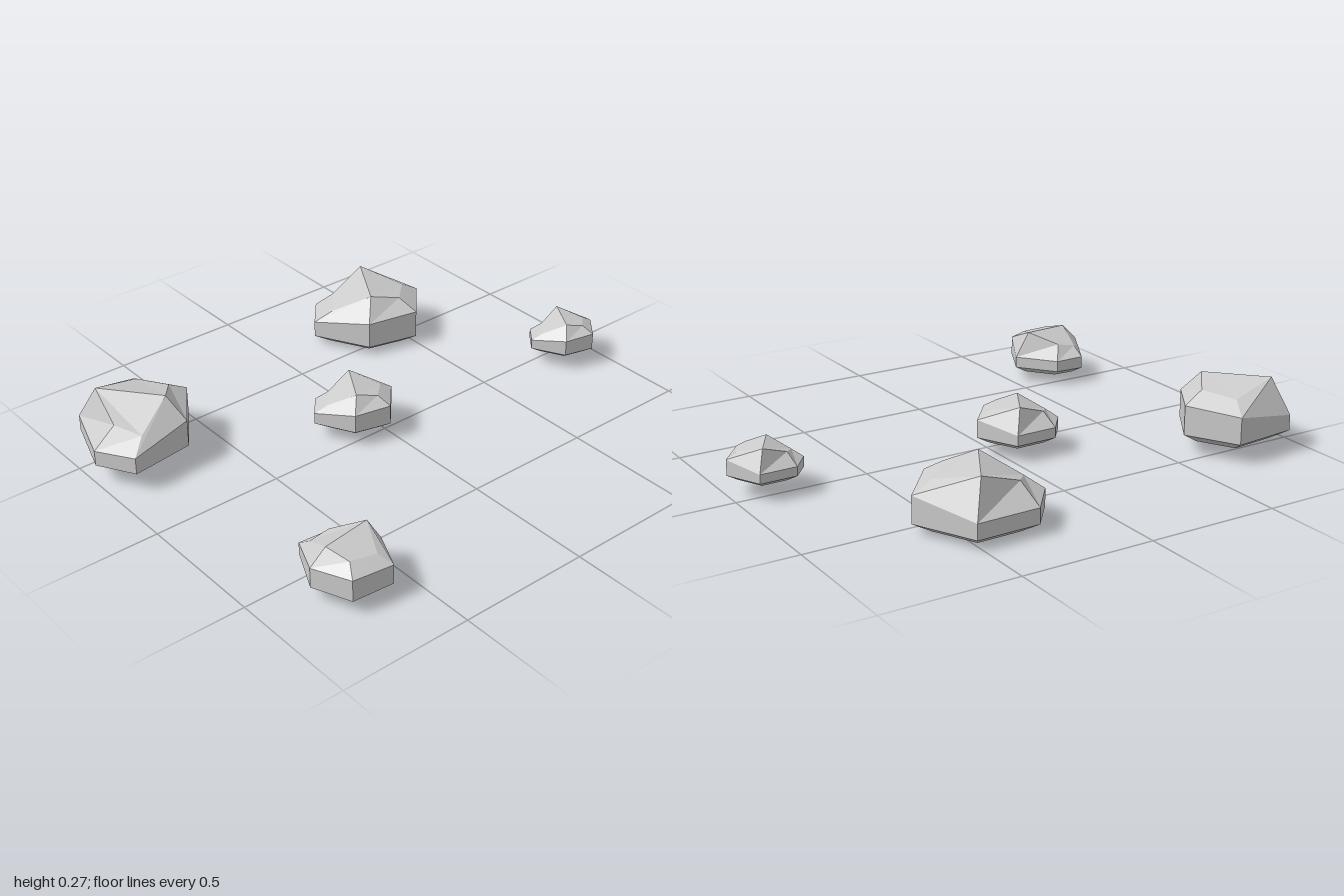
import * as THREE from 'three';

// Six-sided rock: outline [x, z], shoulder heights, and crown points [x, y, z]
const outline = [[-0.22, -0.07], [-0.12, -0.19], [0.12, -0.195], [0.23, 0.03], [0.09, 0.19], [-0.11, 0.14]];
const shoulder = [0.10, 0.095, 0.095, 0.137, 0.147, 0.14];
const crown = [
  [-0.16, 0.147, -0.03], [-0.095, 0.168, -0.11], [0.07, 0.226, -0.136],
  [0.156, 0.18, 0.024], [0.06, 0.192, 0.12], [-0.055, 0.222, 0.083],
];

function rockGeometry() {
  // Cross-sections from the ground up: base, lower edge, shoulder, crown
  const rings = [
    outline.map(([x, z]) => [x * 0.7, 0, z * 0.7]),
    outline.map(([x, z]) => [x, 0.037, z]),
    outline.map(([x, z], i) => [x, shoulder[i], z]),
    crown,
  ];
  const n = outline.length;
  const index = [];
  for (let r = 0; r < rings.length - 1; r++) {
    for (let i = 0; i < n; i++) {
      const j = (i + 1) % n;
      const a = r * n + i, b = r * n + j, c = a + n, d = b + n;
      index.push(b, a, c, b, c, d);
    }
  }
  // Flat underside
  for (let i = 1; i < n - 1; i++) index.push(0, i, i + 1);
  // Two sloping roof faces meeting at the ridge between crown points 2 and 5
  const t = (rings.length - 1) * n;
  for (const k of [2, 1, 0, 2, 0, 5, 5, 4, 3, 5, 3, 2]) index.push(t + k);

  const indexed = new THREE.BufferGeometry();
  indexed.setAttribute('position', new THREE.Float32BufferAttribute(rings.flat(2), 3));
  indexed.setIndex(index);
  const geometry = indexed.toNonIndexed();
  geometry.computeVertexNormals();
  return geometry;
}

export function createModel() {
  const group = new THREE.Group();
  group.name = 'scatteredRocks';
  const geometry = rockGeometry();
  const material = new THREE.MeshStandardMaterial({ color: 0xcccccc, flatShading: true });

  // The same rock, placed, turned and scaled
  const rocks = [
    { name: 'largeRockBack', at: [0.40, 0, -0.58], turn: 0, size: 1 },
    { name: 'largeRockSide', at: [-0.775, 0.04, -0.428], turn: 70, size: 1.02 },
    { name: 'mediumRockFront', at: [-0.689, 0.03, 0.616], turn: -53.5, size: 0.745 },
    { name: 'mediumRockCentre', at: [-0.088, 0.04, -0.066], turn: 0, size: 0.685 },
    { name: 'smallRock', at: [0.862, 0.05, 0.058], turn: 0, size: 0.585 },
  ];
  for (const { name, at, turn, size } of rocks) {
    const rock = new THREE.Mesh(geometry, material);
    rock.name = name;
    rock.position.set(...at);
    rock.rotation.y = THREE.MathUtils.degToRad(turn);
    rock.scale.setScalar(size);
    group.add(rock);
  }
  return group;
}
